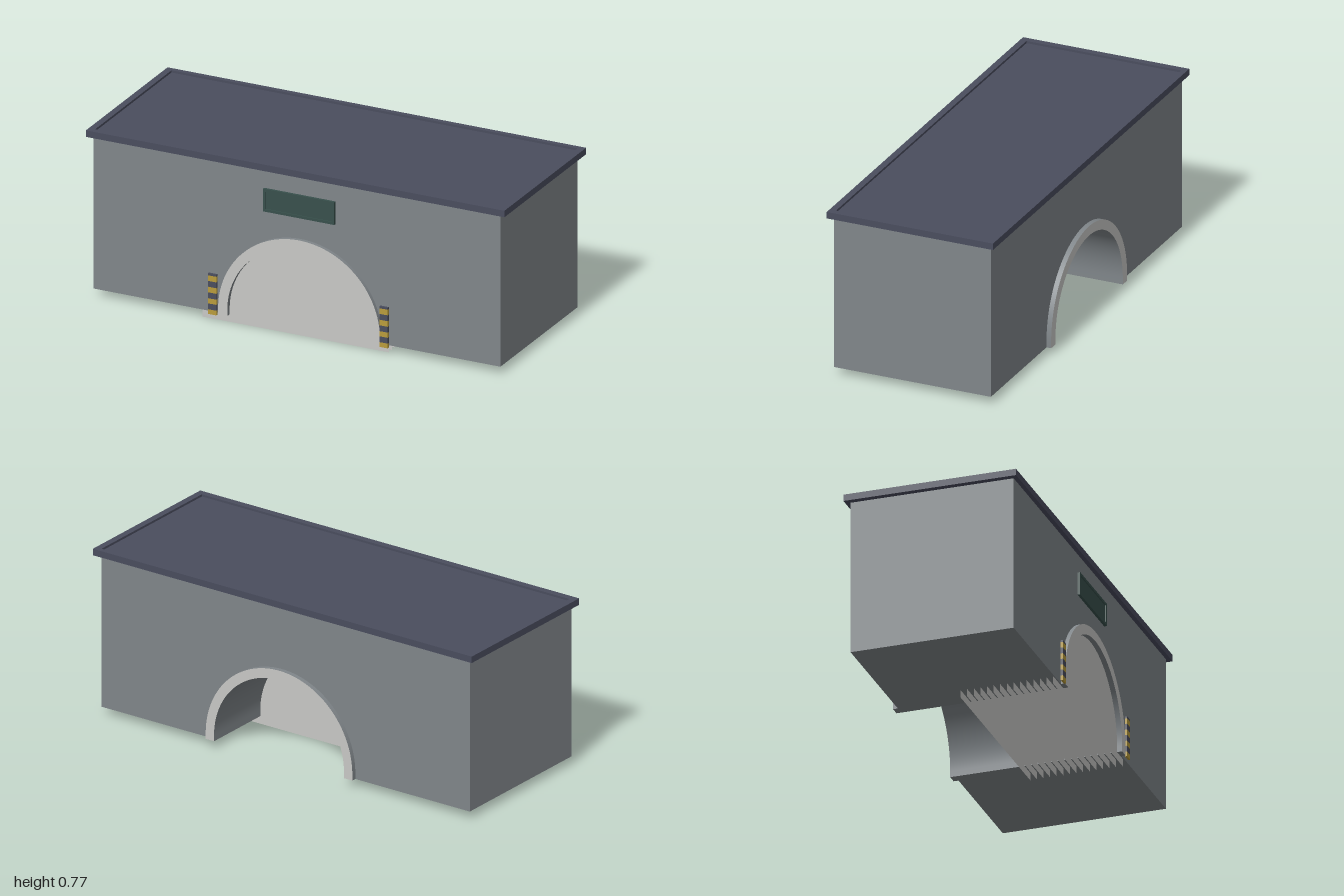
import * as THREE from 'three';
import { toCreasedNormals } from 'three/addons/utils/BufferGeometryUtils.js';

const material = (name, color, extra = {}) =>
  Object.assign(new THREE.MeshStandardMaterial({ color, ...extra }), { name });

// Arch centre and ground line of the walls
const CX = 0.018, CY = 0.062, BASE = 0.035;

export function createModel() {
  const group = new THREE.Group();
  const wall = material('wall grey', 0x80868a);
  const slate = material('slate blue', 0x4a4d5e);
  const pale = material('pale grey', 0xc9c9c6, { side: THREE.DoubleSide });
  const green = material('dark green', 0x38504c);
  const yellow = material('hazard yellow', 0xb99c3c);

  const add = (name, geometry, mat, parent = group) => {
    const mesh = new THREE.Mesh(geometry, mat);
    mesh.name = name;
    parent.add(mesh);
    return mesh;
  };
  // Box given by its lower and upper corners
  const box = (name, x0, x1, y0, y1, z0, z1, mat, parent) => {
    const mesh = add(name, new THREE.BoxGeometry(x1 - x0, y1 - y0, z1 - z0), mat, parent);
    mesh.position.set((x0 + x1) / 2, (y0 + y1) / 2, (z0 + z1) / 2);
    return mesh;
  };
  const extrude = (shape, z0, z1) =>
    new THREE.ExtrudeGeometry(shape, { depth: z1 - z0, bevelEnabled: false, curveSegments: 40 })
      .translate(0, 0, z0);
  // Rectangular frame standing in the xy plane
  const frame = (x0, x1, y0, y1, ix0, ix1, iy0, iy1) => {
    const rect = (a, b, c, d) => [[a, c], [b, c], [b, d], [a, d]].map(p => new THREE.Vector2(...p));
    const shape = new THREE.Shape(rect(x0, x1, y0, y1));
    shape.holes.push(new THREE.Path(rect(ix0, ix1, iy0, iy1)));
    return shape;
  };

  // Building block with the arched passage cut out
  const cut = 0.365;
  const body = new THREE.Shape();
  body.moveTo(-0.973, BASE);
  body.lineTo(CX - cut, BASE);
  body.lineTo(CX - cut, CY);
  body.absarc(CX, CY, cut, Math.PI, 0, true);
  body.lineTo(CX + cut, BASE);
  body.lineTo(0.971, BASE);
  body.lineTo(0.971, 0.745);
  body.lineTo(-0.973, 0.745);
  add('building', extrude(body, -0.37, 0.37), wall);

  // Tunnel lining: pale end faces, grey inside and outside
  const outer = 0.387, inner = 0.343;
  const ring = new THREE.Shape();
  ring.moveTo(CX + outer, BASE);
  ring.lineTo(CX + outer, CY);
  ring.absarc(CX, CY, outer, 0, Math.PI, false);
  ring.lineTo(CX - outer, BASE);
  ring.lineTo(CX - inner, BASE);
  ring.lineTo(CX - inner, CY);
  ring.absarc(CX, CY, inner, Math.PI, 0, true);
  ring.lineTo(CX + inner, BASE);
  add('tunnelArch', toCreasedNormals(extrude(ring, -0.392, 0.388), 0.6), [pale, wall]);

  // Row of thin sheets filling the front part of the tunnel
  const sheets = new THREE.Group();
  sheets.name = 'tunnelSheets';
  group.add(sheets);
  for (let i = 0; i < 15; i++) {
    add('sheet', new THREE.PlaneGeometry(0.89, 0.45), pale, sheets)
      .position.set(-0.01, 0.225, -0.055 + i * 0.03);
  }

  // Flat roof with a raised rim
  box('roofDeck', -0.98, 0.98, 0.74, 0.76, -0.38, 0.375, slate);
  const rim = frame(-1, 1, -0.39, 0.393, -0.97, 0.97, -0.36, 0.37);
  add('roofRim', extrude(rim, 0, 0.03).rotateX(-Math.PI / 2).translate(0, 0.74, 0), slate);

  // Sign box above the arch
  box('signPanel', -0.15, 0.178, 0.555, 0.65, 0.365, 0.377, green);
  add('signFrame', extrude(frame(-0.157, 0.183, 0.549, 0.654, -0.145, 0.171, 0.561, 0.642), 0.365, 0.382), green);

  // Striped hazard posts on both sides of the arch
  const levels = [0.031, 0.053, 0.08, 0.104, 0.131, 0.157, 0.184, 0.21, 0.219];
  for (const [name, x] of [['rightPost', -0.394], ['leftPost', 0.425]]) {
    const post = new THREE.Group();
    post.name = name;
    group.add(post);
    for (let i = 0; i < levels.length - 1; i++) {
      box('stripe', x - 0.02, x + 0.02, levels[i], levels[i + 1], 0.385, 0.395, i % 2 ? slate : yellow, post);
    }
  }
  return group;
}
